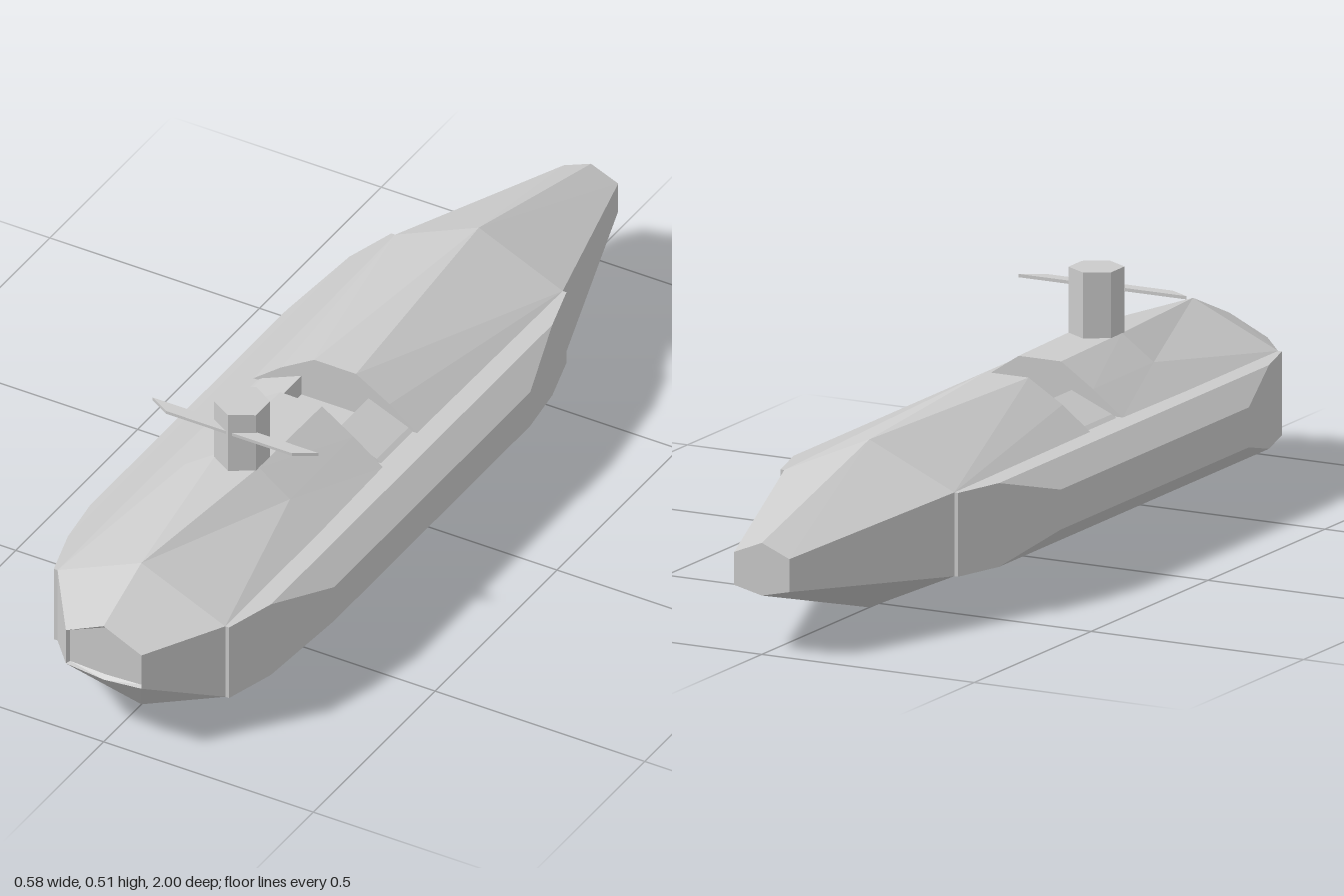
import * as THREE from 'three';

const material = new THREE.MeshStandardMaterial({ color: 0xcccccc, flatShading: true, side: THREE.DoubleSide });

// Full symmetric outline from its +x half, listed bottom to top
const ring = (half) => [...half, ...half.map(([x, y]) => [-x, y]).reverse()];

// Joins cross-sections [z, counter-clockwise points], z ascending; closes both ends
function loft(name, sections, mirrorDiagonals = true) {
  const pos = [];
  const tri = (...pts) => pts.forEach((p) => pos.push(...p));
  const rows = sections.map(([z, pts]) => pts.map(([x, y]) => [x, y, z]));
  const n = rows[0].length;
  for (let r = 0; r < rows.length - 1; r++) {
    for (let i = 0; i < n; i++) {
      const j = (i + 1) % n;
      const [a, b, c, d] = [rows[r][i], rows[r][j], rows[r + 1][j], rows[r + 1][i]];
      if (mirrorDiagonals && i >= n / 2) { tri(a, b, d); tri(b, c, d); }
      else { tri(a, b, c); tri(a, c, d); }
    }
  }
  const first = rows[0], last = rows[rows.length - 1];
  for (let i = 1; i < n - 1; i++) {
    tri(first[0], first[i + 1], first[i]);
    tri(last[0], last[i], last[i + 1]);
  }
  const geo = new THREE.BufferGeometry();
  geo.setAttribute('position', new THREE.Float32BufferAttribute(pos, 3));
  geo.computeVertexNormals();
  const mesh = new THREE.Mesh(geo, material);
  mesh.name = name;
  return mesh;
}

// Six-sided hull outline
const hex = (w, bottom, low, high, top) => ring([[0, bottom], [w, low], [w, high], [0, top]]);

export function createModel() {
  const group = new THREE.Group();
  const add = (...meshes) => group.add(...meshes);

  // Main hull, flat on top where the deck sits
  const body = ring([[0, 0], [0.2, 0.09], [0.2, 0.268], [0, 0.268]]);
  add(loft('hull', [[-0.54, body], [0.845, body]]));

  // Tapered stern and nose; the nose ends in a shallow recessed panel
  const full = hex(0.2, 0, 0.09, 0.268, 0.357);
  add(loft('stern', [[-1, hex(0.065, 0.125, 0.14, 0.21, 0.237)], [-0.54, full]]));
  const rim = hex(0.09, 0.157, 0.166, 0.25, 0.292);
  const panel = hex(0.086, 0.164, 0.168, 0.247, 0.283);
  const nose = loft('nose', [[0.845, full], [1, rim], [1.0001, panel]]);
  // Push the panel vertices back inside the rim
  const p = nose.geometry.attributes.position;
  for (let i = 0; i < p.count; i++) if (p.getZ(i) > 1.00005) p.setZ(i, 0.99);
  nose.geometry.computeVertexNormals();
  add(nose);

  // Raised deck in front of and behind the cockpit
  const deck = (w, kneeX, kneeY, topX, topY, ridge) =>
    ring([[0, 0.26], [w, 0.26], [w, 0.268], [kneeX, kneeY], [topX, topY], [0, ridge]]);
  add(loft('frontDeck', [
    [0.19, deck(0.195, 0.125, 0.32, 0.05, 0.37, 0.37)],
    [0.45, deck(0.2, 0.125, 0.321, 0.05, 0.374, 0.374)],
    [0.845, deck(0.2, 0.2, 0.268, 0, 0.357, 0.357)],
  ]));
  add(loft('rearDeck', [
    [-0.54, deck(0.2, 0.2, 0.268, 0, 0.357, 0.357)],
    [0.05, deck(0.195, 0.13, 0.318, 0.05, 0.366, 0.366)],
  ]));

  // Side pods with chamfered edges and swept ends, and the cockpit side ledges
  const pod = (mid, out, low, high) =>
    [[0.2, 0.09], [mid, 0.09], [out, low], [out, high], [mid, 0.268], [0.2, 0.268]];
  const end = pod(0.209, 0.209, 0.09, 0.268);
  const bend = pod(0.242, 0.242, 0.09, 0.268);
  const middle = pod(0.242, 0.291, 0.137, 0.222);
  const podSections = [[-0.54, end], [-0.425, bend], [-0.25, middle], [0.555, middle], [0.73, bend], [0.845, end]];
  const ledge = [[0.08, 0.268], [0.185, 0.268], [0.175, 0.275], [0.08, 0.315]];
  const ledgeSections = [[0.05, ledge], [0.18, ledge]];
  const flip = (sections) => sections.map(([z, pts]) => [z, pts.map(([x, y]) => [-x, y]).reverse()]);
  add(loft('leftPod', podSections, false), loft('rightPod', flip(podSections), false));
  add(loft('leftCockpitLedge', ledgeSections, false), loft('rightCockpitLedge', flip(ledgeSections), false));

  // Hexagonal tower
  const tower = new THREE.Mesh(new THREE.CylinderGeometry(0.058, 0.058, 0.163, 6), material);
  tower.name = 'tower';
  tower.position.set(0, 0.4315, 0.432);
  add(tower);

  // Thin diving planes across the tower
  const outline = [[-0.198, 0.458], [0.198, 0.458], [0.15, 0.486], [-0.15, 0.486]];
  const shape = new THREE.Shape(outline.map(([x, z]) => new THREE.Vector2(x, z)));
  const planeGeo = new THREE.ExtrudeGeometry(shape, { depth: 0.007, bevelEnabled: false });
  planeGeo.rotateX(Math.PI / 2);
  const planes = new THREE.Mesh(planeGeo, material);
  planes.name = 'divingPlanes';
  planes.position.y = 0.468;
  add(planes);

  return group;
}
